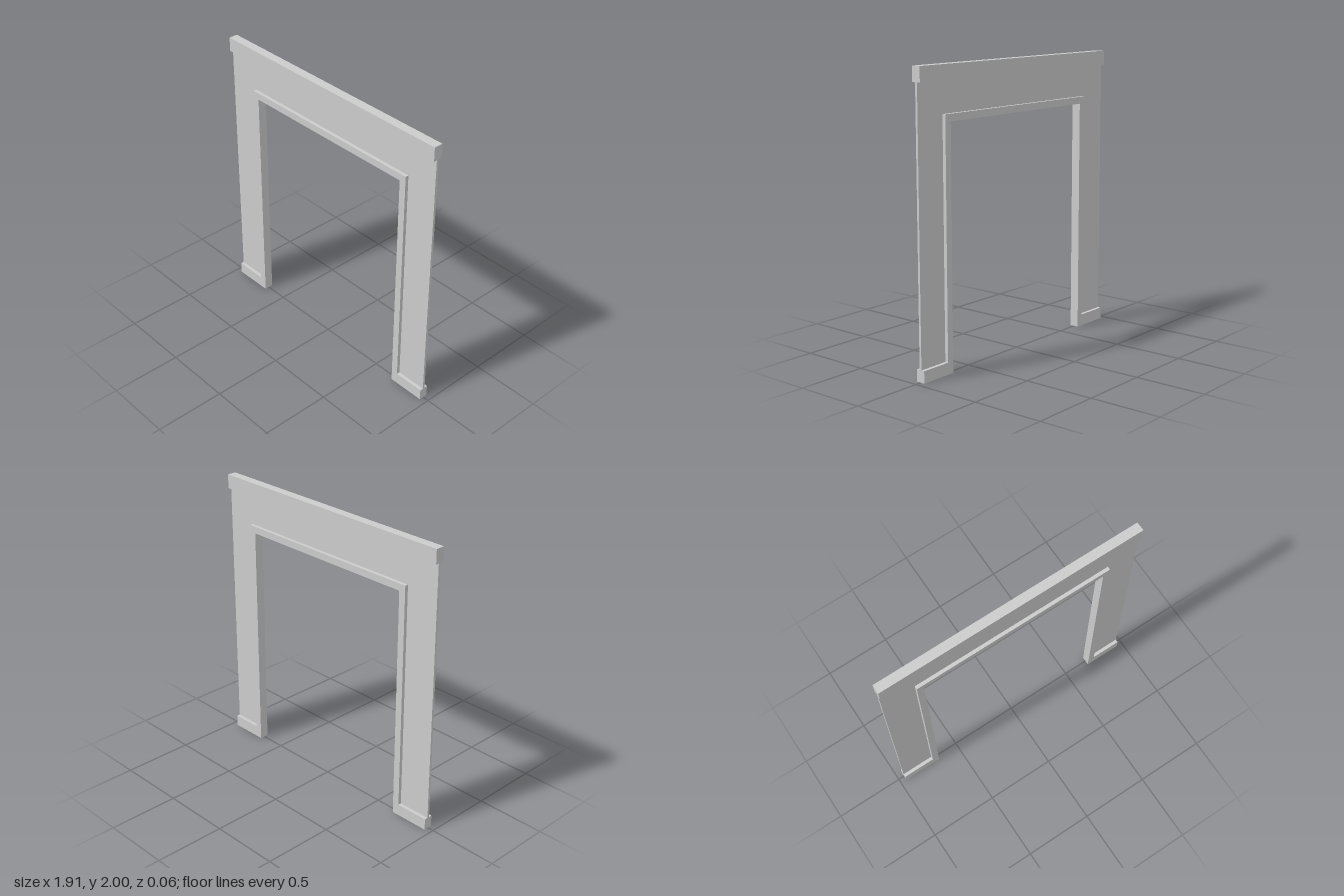
import * as THREE from 'three';

const material = new THREE.MeshStandardMaterial({ color: 0xcccccc, flatShading: true });

// Extrudes an outline in the xy plane, centred on z = 0
function slab(name, points, depth) {
  const shape = new THREE.Shape(points.map(([x, y]) => new THREE.Vector2(x, y)));
  const geometry = new THREE.ExtrudeGeometry(shape, { depth, bevelEnabled: false });
  geometry.translate(0, 0, -depth / 2);
  const mesh = new THREE.Mesh(geometry, material);
  mesh.name = name;
  return mesh;
}

export function createModel() {
  const group = new THREE.Group();
  group.name = 'doorwayWall';

  const side = 0.955, top = 2, bandBottom = 1.9, skirtTop = 0.082;
  const openLeft = -0.667, openRight = 0.684, openTop = 1.64;
  const trim = 0.049, thick = 0.064, thin = 0.016;
  const outLeft = openLeft - trim, outRight = openRight + trim, outTop = openTop + trim;

  // Thin wall panel, tucked behind the trim
  const inset = trim / 2;
  group.add(slab('wallPanel', [
    [-side, skirtTop - 0.02], [openLeft - inset, skirtTop - 0.02],
    [openLeft - inset, openTop + inset], [openRight + inset, openTop + inset],
    [openRight + inset, skirtTop - 0.02], [side, skirtTop - 0.02],
    [side, bandBottom + 0.02], [-side, bandBottom + 0.02],
  ], thin));

  // Door casing and skirting boards in one continuous profile
  group.add(slab('casingAndSkirting', [
    [-side, 0], [openLeft, 0], [openLeft, openTop], [openRight, openTop],
    [openRight, 0], [side, 0], [side, skirtTop], [outRight, skirtTop],
    [outRight, outTop], [outLeft, outTop], [outLeft, skirtTop], [-side, skirtTop],
  ], thick));

  // Thick band along the top
  group.add(slab('topBand', [
    [-side, bandBottom], [side, bandBottom], [side, top], [-side, top],
  ], thick));

  return group;
}
